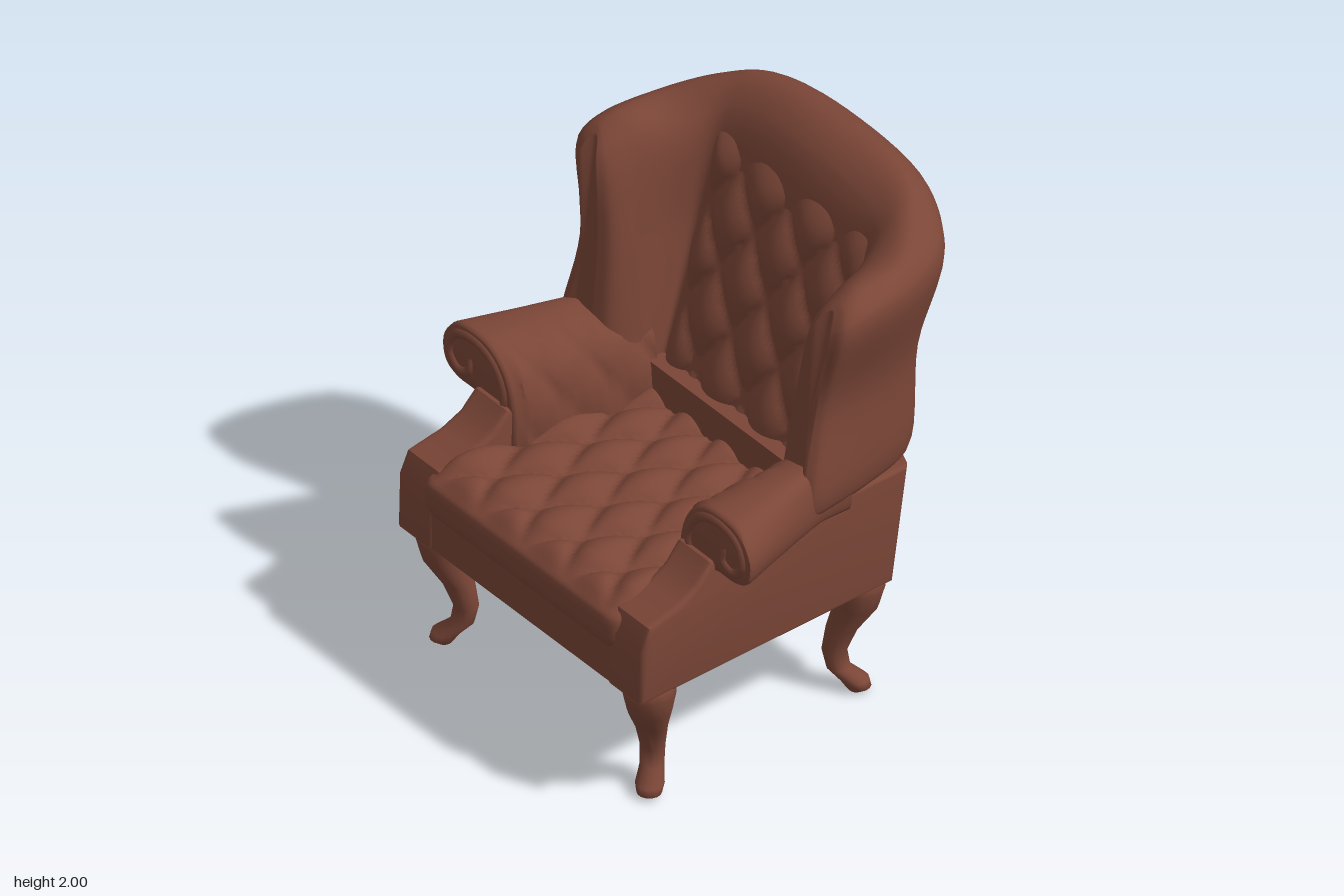
import * as THREE from 'three';
import { mergeVertices, toCreasedNormals } from 'three/addons/utils/BufferGeometryUtils.js';

const V = (x, y, z) => new THREE.Vector3(x, y, z);
const leather = new THREE.MeshStandardMaterial({ color: 0x7b4637 });
leather.name = 'brown leather';

// Moves every vertex by a rule
function warp(geo, rule) {
  const p = geo.attributes.position, v = V(0, 0, 0);
  for (let i = 0; i < p.count; i++) {
    rule(v.fromBufferAttribute(p, i));
    p.setXYZ(i, v.x, v.y, v.z);
  }
  geo.computeVertexNormals();
  return geo;
}

// Skins closed rings of equal length, with a fan at both ends
function loft(rings) {
  const m = rings[0].length, n = rings.length, pos = [], idx = [];
  rings.forEach(r => r.forEach(p => pos.push(p.x, p.y, p.z)));
  for (let i = 0; i < n - 1; i++) for (let j = 0; j < m; j++) {
    const a = i * m + j, b = i * m + (j + 1) % m;
    idx.push(a, b, a + m, b, b + m, a + m);
  }
  [0, n - 1].forEach(i => {
    const c = rings[i].reduce((s, p) => s.add(p), V(0, 0, 0)).divideScalar(m);
    const k = pos.length / 3;
    pos.push(c.x, c.y, c.z);
    for (let j = 0; j < m; j++) {
      const a = i * m + j, b = i * m + (j + 1) % m;
      if (i) idx.push(a, b, k); else idx.push(b, a, k);
    }
  });
  // Turn the faces outwards if the enclosed volume is negative
  const at = i => V(pos[3 * i], pos[3 * i + 1], pos[3 * i + 2]);
  let vol = 0;
  for (let i = 0; i < idx.length; i += 3) vol += at(idx[i]).dot(at(idx[i + 1]).cross(at(idx[i + 2])));
  if (vol < 0) idx.reverse();
  const g = new THREE.BufferGeometry();
  g.setAttribute('position', new THREE.Float32BufferAttribute(pos, 3));
  g.setIndex(idx);
  g.computeVertexNormals();
  return g;
}

// Smooths a few rings into many, around and along
function smooth(rings, along, around) {
  const fine = rings.map(r => new THREE.CatmullRomCurve3(r, true).getPoints(around).slice(0, -1));
  const cols = fine[0].map((_, j) => new THREE.CatmullRomCurve3(fine.map(r => r[j])).getPoints(along));
  return cols[0].map((_, i) => cols.map(c => c[i]));
}

// Diamond button tufting, 0 at the seams and 1 on the pillows
function tuft(u, v, pu, pv) {
  const s = t => Math.abs(Math.sin(Math.PI * t));
  return Math.sqrt(s(u / pu + v / pv) * s(u / pu - v / pv));
}

// Side profile (z, y) extruded across x, narrowed and rounded towards the back
function sideExtrude(profile, x0, x1) {
  const shape = new THREE.Shape(profile.map(p => new THREE.Vector2(...p)));
  const b = 0.02;
  const g = new THREE.ExtrudeGeometry(shape, {
    depth: x1 - x0 - 2 * b, steps: 12, bevelSize: b, bevelThickness: b, bevelOffset: -b, bevelSegments: 3,
  });
  g.rotateY(-Math.PI / 2).translate(x1 - b, 0, 0);
  warp(g, v => {
    if (v.z < -0.4) v.z += 0.07 * (v.x / 0.7) ** 4;
    v.x *= 1 - 0.12 * THREE.MathUtils.clamp((0.74 - v.z) / 1.2, 0, 1);
  });
  return toCreasedNormals(g, 0.7);
}

export function createModel() {
  const chair = new THREE.Group();
  chair.name = 'wingArmchair';
  const add = (name, geo) => {
    const m = new THREE.Mesh(geo, leather);
    m.name = name;
    chair.add(m);
  };

  // Seat frame with the raised back rail
  add('seatFrame', sideExtrude([[0.745, 0.48], [0.745, 0.64], [-0.15, 0.64], [-0.15, 0.94], [-0.55, 0.94], [-0.48, 0.48]], -0.695, 0.695));

  // Side panels sweeping down in front of the arms
  const panel = [[0.75, 0.48], [0.745, 0.7], [0.71, 0.785], [0.57, 0.825], [0.49, 0.87], [0.43, 0.94], [-0.55, 0.94], [-0.48, 0.48]];
  add('leftSidePanel', sideExtrude(panel, 0.5, 0.705));
  add('rightSidePanel', sideExtrude(panel, -0.705, -0.5));

  // Tufted seat cushion
  const half = V(0.57, 0.1, 0.49), r = 0.075;
  let cushion = new THREE.BoxGeometry(1.14, 0.2, 0.98, 64, 8, 60);
  cushion.deleteAttribute('uv');
  cushion.deleteAttribute('normal');
  cushion = mergeVertices(cushion);
  const inner = half.clone().subScalar(r);
  add('seatCushion', warp(cushion, v => {
    const core = v.clone().clamp(inner.clone().negate(), inner);
    v.sub(core).setLength(r).add(core);
    const top = THREE.MathUtils.smoothstep(v.y, 0.04, 0.1);
    const edge = 1 - THREE.MathUtils.smoothstep(v.z, 0.36, 0.49);
    v.z += 0.275;
    v.y += 0.7 + top * (0.06 * tuft(v.x, v.z, 0.25, 0.38) * edge - 0.02);
    v.x *= 1 - 0.17 * (0.765 - v.z) / 0.98;
  }));

  // Backrest and wings: half of the U, from the centre back to the wing front.
  // Each ring: tucked hem, outer low, outer middle, outer top, crest, inner top, inner middle, inner low
  const halfRings = [
    [[0, .92, -.52], [0, 1.0, -.60], [0, 1.4, -.67], [0, 1.92, -.765], [0, 2.0, -.65], [0, 1.91, -.5], [0, 1.4, -.36], [0, .75, -.2]],
    [[.34, .92, -.5], [.36, 1.0, -.58], [.37, 1.4, -.64], [.40, 1.89, -.735], [.42, 1.97, -.62], [.38, 1.87, -.49], [.38, 1.4, -.36], [.38, .75, -.2]],
    [[.53, .92, -.44], [.59, 1.0, -.5], [.58, 1.4, -.55], [.63, 1.82, -.62], [.56, 1.915, -.52], [.46, 1.83, -.45], [.46, 1.4, -.36], [.45, .75, -.2]],
    [[.6, .92, -.28], [.67, 1.0, -.3], [.67, 1.4, -.36], [.735, 1.78, -.42], [.67, 1.86, -.39], [.52, 1.79, -.35], [.48, 1.4, -.3], [.47, .75, -.15]],
    [[.64, .92, -.1], [.71, 1.0, -.1], [.695, 1.4, -.16], [.775, 1.77, -.2], [.69, 1.84, -.2], [.58, 1.78, -.2], [.5, 1.4, -.16], [.48, .75, -.05]],
    [[.65, .92, 0], [.72, 1.0, .02], [.70, 1.4, -.06], [.765, 1.74, -.09], [.70, 1.81, -.13], [.61, 1.74, -.09], [.53, 1.4, -.06], [.52, .75, .02]],
  ].map(ring => ring.map(p => V(...p)));
  const last = halfRings[halfRings.length - 1];
  const mid = last.reduce((s, p) => s.add(p), V(0, 0, 0)).divideScalar(last.length);
  // Rounded wing front
  halfRings.push(last.map(p => V(
    THREE.MathUtils.lerp(p.x, mid.x, 0.45), THREE.MathUtils.lerp(p.y, mid.y, 0.06), p.z + 0.03)));
  const mirrored = halfRings.slice(1).reverse().map(ring => ring.map(p => V(-p.x, p.y, p.z)));
  add('backrestAndWings', loft(smooth([...mirrored, ...halfRings], 72, 56)));

  // Tufted inner back
  add('tuftedBack', warp(new THREE.PlaneGeometry(0.96, 1.1, 64, 72), v => {
    const edge = Math.max(Math.abs(v.x) / 0.48, Math.abs(v.y) / 0.55) ** 10;
    const h = tuft(v.x, v.y - 0.06, 0.27, 0.37);
    v.y += 1.3;
    v.z = -0.2 - 0.27 * (v.y - 0.8) + 0.012 + 0.05 * h * (1 - edge) - 0.06 * edge;
  }));

  // Rolled arms, tapering into the wings
  const section = [[.49, .7], [.475, .92], [.52, 1.06], [.61, 1.135], [.73, 1.15], [.82, 1.13], [.885, 1.04],
    [.87, .945], [.8, .91], [.69, .905], [.64, .87], [.62, .7]];
  const armRing = (z, grow = 1) => {
    const t = (0.41 - z) / 0.46;
    return section.map(([x, y]) => {
      const X = x > 0.64 ? 0.64 + (x - 0.64) * Math.max(0.2, 1 - 0.75 * t) : x - 0.03 * t;
      return V(0.68 + (X - 0.68) * grow, 0.98 + (y - 0.98) * grow, z);
    });
  };
  const scroll = [[.55, .86], [.53, .98], [.59, 1.08], [.7, 1.115], [.81, 1.085], [.84, 1.0], [.79, .95], [.73, .97], [.73, 1.03]];
  for (const [side, s] of [['left', 1], ['right', -1]]) {
    const rings = smooth([.40, .3, .18, .06, -.06, -.18].map(z => armRing(z)), 30, 48);
    const front = smooth([armRing(.415, .93), armRing(.412, .97)], 1, 48);
    const mirror = list => list.map(ring => ring.map(p => V(p.x * s, p.y, p.z)));
    const arm = warp(loft(mirror([...front, ...rings])), v => {
      if (Math.abs(v.x) < 0.6 && v.z < 0.38) v.x -= s * 0.02 * tuft(v.z, v.y, 0.2, 0.3);
    });
    add(side + 'Arm', toCreasedNormals(arm, 0.9));
    const path = new THREE.CatmullRomCurve3(scroll.map(([x, y]) => V(x * s, y, 0.405)));
    add(side + 'ArmScroll', new THREE.TubeGeometry(path, 40, 0.022, 8));
  }

  // Cabriole legs: [height, outward offset, radius]
  const legRings = [[.5, 0, .095], [.44, .005, .095], [.36, 0, .08], [.26, -.035, .058], [.16, -.055, .045],
    [.09, -.045, .043], [.045, -.005, .052], [.015, .005, .045], [0, 0, .028]];
  const leg = (x, z) => loft(legRings.map(([y, d, rad]) => Array.from({ length: 14 }, (_, i) => {
    const a = i / 14 * Math.PI * 2;
    return V(x + Math.sign(x) * d + rad * Math.cos(a), y, z + Math.sign(z) * d + rad * Math.sin(a));
  })));
  for (const [side, s] of [['Left', 1], ['Right', -1]]) {
    add('front' + side + 'Leg', leg(0.59 * s, 0.63));
    add('back' + side + 'Leg', leg(0.51 * s, -0.335));
  }
  return chair;
}
